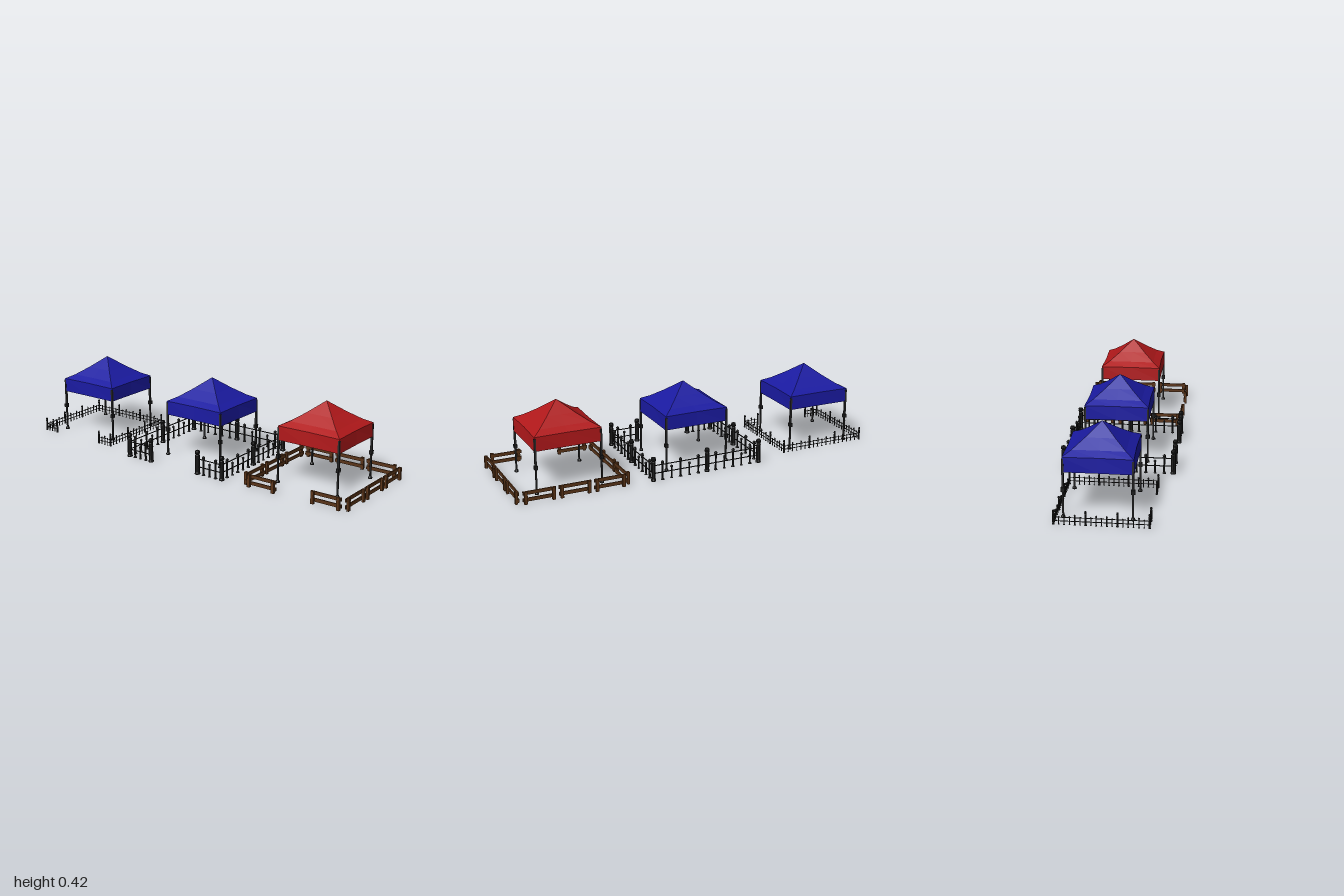
import * as THREE from 'three';

const mat = (color, side = THREE.FrontSide) =>
  new THREE.MeshStandardMaterial({ color, side, flatShading: true });
const RED = mat(0xb0181a, THREE.DoubleSide);
const BLUE = mat(0x1a1aa0, THREE.DoubleSide);
const WOOD = mat(0x5a3418);
const IRON = mat(0x1c1c1c);
const STEEL = mat(0x2a2a2a);

function add(parent, name, geometry, material, x = 0, y = 0, z = 0) {
  const mesh = new THREE.Mesh(geometry, material);
  mesh.name = name;
  mesh.position.set(x, y, z);
  parent.add(mesh);
  return mesh;
}

const box = (w, h, d) => new THREE.BoxGeometry(w, h, d);
const lathe = (points, sides) =>
  new THREE.LatheGeometry(points.map(([r, y]) => new THREE.Vector2(r, y)), sides);

// Square canopy skin: stacked square rings whose sides pull in slightly at mid-span
function canopyGeometry() {
  const hx = 0.167, hz = 0.177;
  // scale, height, mid-side scale
  const rings = [[1, 0.225, 0.99], [0.99, 0.298, 0.965], [0.75, 0.32, 0.74],
    [0.42, 0.361, 0.42], [0, 0.42, 0]];
  const around = [[1, 1], [1, 0], [1, -1], [0, -1], [-1, -1], [-1, 0], [-1, 1], [0, 1]];
  const positions = [], index = [];
  for (const [s, y, m] of rings) {
    for (const [a, b] of around) {
      const k = a && b ? s : m;
      positions.push(a * hx * k, y, b * hz * k);
    }
  }
  for (let r = 0; r < rings.length - 1; r++) {
    for (let i = 0; i < 8; i++) {
      const a = r * 8 + i, b = r * 8 + (i + 1) % 8;
      index.push(a, b, a + 8);
      if (r < rings.length - 2) index.push(b, b + 8, a + 8);
    }
  }
  const g = new THREE.BufferGeometry();
  g.setAttribute('position', new THREE.Float32BufferAttribute(positions, 3));
  g.setIndex(index);
  const flat = g.toNonIndexed();
  flat.computeVertexNormals();
  return flat;
}

const canopyGeo = canopyGeometry();
const footGeo = lathe([[0, 0], [0.011, 0], [0.011, 0.006], [0.006, 0.014], [0, 0.014]], 8);

function makeTent(cloth, z) {
  const tent = new THREE.Group();
  tent.name = 'tent';
  tent.position.set(0.026, 0, z);
  add(tent, 'canopy', canopyGeo, cloth);
  for (const sx of [-1, 1]) {
    for (const sz of [-1, 1]) {
      const leg = new THREE.Group();
      leg.name = 'tentLeg';
      leg.position.set(sx * 0.162, 0, sz * 0.172);
      add(leg, 'lowerTube', box(0.008, 0.14, 0.008), STEEL, 0, 0.07, 0);
      add(leg, 'upperTube', box(0.01, 0.155, 0.01), STEEL, 0, 0.2125, 0);
      add(leg, 'legClamp', box(0.02, 0.02, 0.016), IRON, 0, 0.14, 0);
      add(leg, 'foot', footGeo, IRON);
      tent.add(leg);
    }
  }
  return tent;
}

// Wooden panel along local x, with its posts on the +z (outer) side
function makeWoodPanel(x, z, turn) {
  const panel = new THREE.Group();
  panel.name = 'woodFencePanel';
  panel.position.set(x, 0, z);
  panel.rotation.y = turn;
  for (const y of [0.02, 0.055]) add(panel, 'rail', box(0.168, 0.018, 0.006), WOOD, 0, y, 0);
  for (const s of [-1, 1]) add(panel, 'post', box(0.016, 0.066, 0.013), WOOD, s * 0.071, 0.033, 0.0085);
  return panel;
}

function makeWoodFence() {
  const fence = new THREE.Group();
  fence.name = 'woodFence';
  const cx = 0.004, cz = 0.695;
  for (const k of [-1, 0, 1]) {
    const d = k * 0.184;
    fence.add(makeWoodPanel(cx + d, 0.983, 0));
    fence.add(makeWoodPanel(cx + d, 0.416, Math.PI));
    fence.add(makeWoodPanel(0.273, cz + d, Math.PI / 2));
    if (k) fence.add(makeWoodPanel(-0.266, cz + d, -Math.PI / 2));
  }
  return fence;
}

// Turned post with a banded cap
const postGeo = (h, r) => lathe([[0, 0], [r * 1.2, 0], [r * 1.2, h * 0.05], [r, h * 0.09],
  [r, h * 0.8], [r * 0.7, h * 0.83], [r * 1.15, h * 0.88], [r * 1.15, h * 0.92],
  [r * 0.85, h * 0.93], [r * 1.1, h * 0.95], [r * 0.9, h], [0, h]], 8);
// Thin picket with a flared base and a spear head
const picketGeo = (h, r) => lathe([[0, 0], [r * 1.5, 0], [r * 0.8, h * 0.08], [r * 0.8, h * 0.8],
  [r * 1.4, h * 0.83], [r * 0.9, h * 0.86], [r * 1.4, h * 0.91], [0, h]], 6);

// Iron fence following a list of corner and post points
function makeIronFence(name, points, style) {
  const fence = new THREE.Group();
  fence.name = name;
  const post = postGeo(style.postHeight, style.postRadius);
  const tall = picketGeo(style.tall, style.picketRadius);
  const short = picketGeo(style.short, style.picketRadius * 0.8);
  points.forEach(([x, z], i) => {
    add(fence, 'post', post, IRON, x, 0, z);
    if (i === points.length - 1) return;
    const [x2, z2] = points[i + 1];
    const length = Math.hypot(x2 - x, z2 - z);
    const count = Math.max(2, 2 * Math.round(length / style.spacing / 2));
    for (const y of style.rails) {
      const rail = add(fence, 'rail', box(length, style.railSize, style.railSize), IRON,
        (x + x2) / 2, y, (z + z2) / 2);
      rail.rotation.y = -Math.atan2(z2 - z, x2 - x);
    }
    for (let k = 1; k < count; k++) {
      const t = k / count;
      const isTall = k % 2 === style.tallParity;
      add(fence, isTall ? 'tallPicket' : 'shortPicket', isTall ? tall : short, IRON,
        x + (x2 - x) * t, 0, z + (z2 - z) * t);
    }
  });
  return fence;
}

export function createModel() {
  const model = new THREE.Group();
  model.name = 'marketTents';

  model.add(makeTent(RED, 0.692), makeTent(BLUE, -0.008), makeTent(BLUE, -0.742));
  model.add(makeWoodFence());

  model.add(makeIronFence('tallIronFence', [[-0.28, -0.18], [-0.28, -0.325], [0, -0.325],
    [0.28, -0.325], [0.28, -0.024], [0.28, 0.278], [0, 0.278], [-0.28, 0.278], [-0.28, 0.126]], {
    postHeight: 0.127, postRadius: 0.012, tall: 0.105, short: 0.073, picketRadius: 0.007,
    spacing: 0.045, rails: [0.04, 0.082], railSize: 0.004, tallParity: 1,
  }));

  model.add(makeIronFence('lowIronFence', [[-0.219, -0.915], [-0.219, -0.994], [-0.073, -0.994],
    [0.073, -0.994], [0.221, -0.994], [0.221, -0.835], [0.221, -0.675], [0.221, -0.516],
    [0.073, -0.516], [-0.073, -0.516], [-0.219, -0.516], [-0.219, -0.6]], {
    postHeight: 0.07, postRadius: 0.005, tall: 0.052, short: 0.043, picketRadius: 0.0035,
    spacing: 0.025, rails: [0.018, 0.036], railSize: 0.003, tallParity: 0,
  }));

  return model;
}
